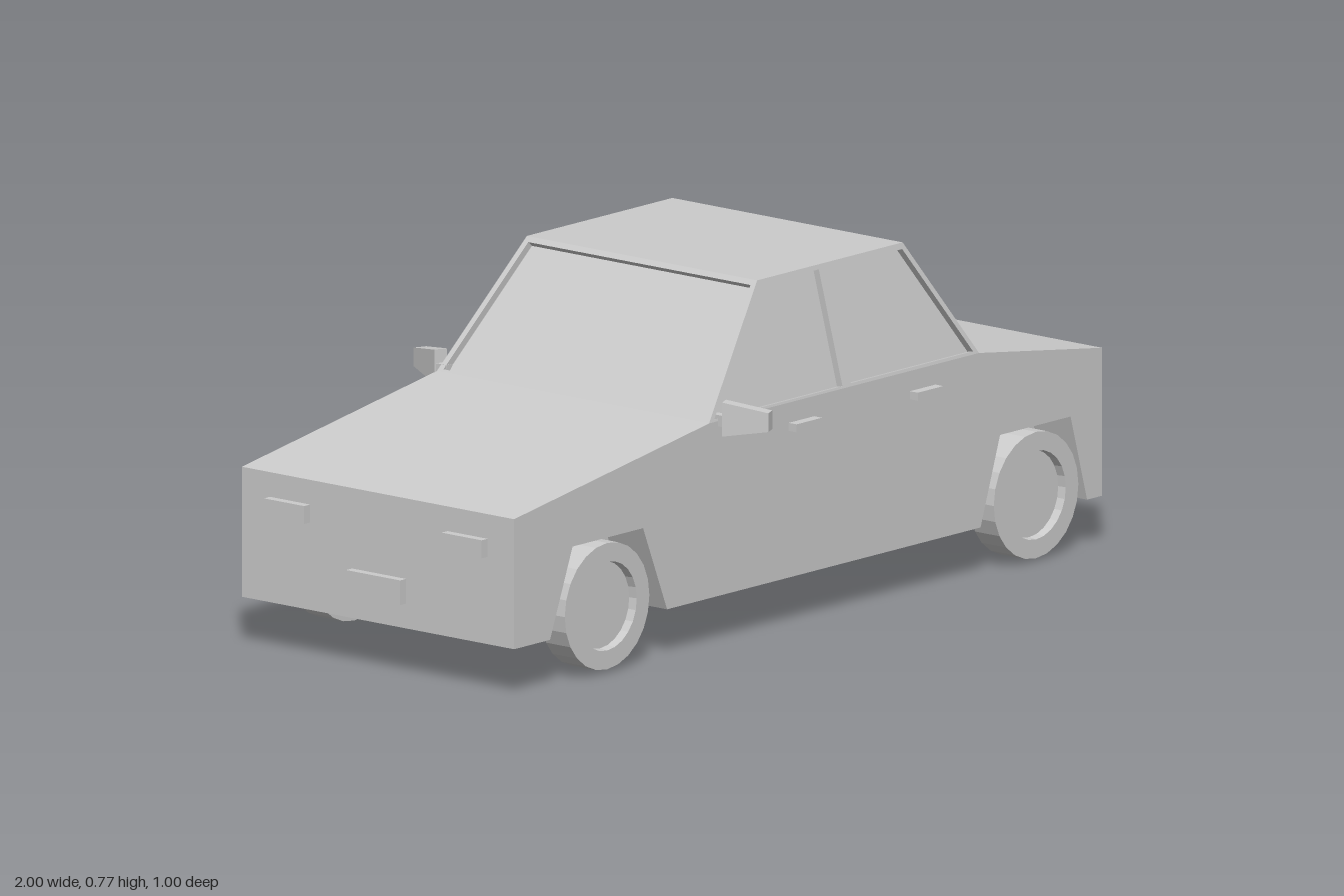
import * as THREE from 'three';

const material = new THREE.MeshStandardMaterial({ color: 0xcccccc, flatShading: true });
const V = (x, y, z) => new THREE.Vector3(x, y, z);

function add(parent, name, geometry, x = 0, y = 0, z = 0) {
  const mesh = new THREE.Mesh(geometry, material);
  mesh.name = name;
  mesh.position.set(x, y, z);
  parent.add(mesh);
  return mesh;
}

// Extrudes a side profile from z0 to z1
function slab(points, z0, z1) {
  const shape = new THREE.Shape(points.map(([x, y]) => new THREE.Vector2(x, y)));
  return new THREE.ExtrudeGeometry(shape, { depth: z1 - z0, bevelEnabled: false }).translate(0, 0, z0);
}

// Geometry from quads, each given counter-clockwise from outside
function fromQuads(quads) {
  const points = quads.flatMap(([a, b, c, d]) => [a, b, c, a, c, d]);
  const geometry = new THREE.BufferGeometry().setFromPoints(points);
  geometry.computeVertexNormals();
  return geometry;
}

// Window panel: a flat frame around a recessed pane; corners run BL, BR, TR, TL
function windowPanel(corners, margin = 0.014, depth = 0.016) {
  const [a, b, c, d] = corners;
  const normal = b.clone().sub(a).cross(d.clone().sub(a)).normalize();
  const at = (u, v) => a.clone().lerp(b, u).lerp(d.clone().lerp(c, u), v);
  const ub = margin / a.distanceTo(b), ut = margin / d.distanceTo(c), v = margin / a.distanceTo(d);
  const inner = [at(ub, v * 0.5), at(1 - ub, v * 0.5), at(1 - ut, 1 - v), at(ut, 1 - v)];
  const pane = inner.map((p) => p.clone().addScaledVector(normal, -depth));
  const quads = [pane];
  for (let i = 0; i < 4; i++) {
    const j = (i + 1) % 4;
    quads.push([corners[i], corners[j], inner[j], inner[i]]);
    quads.push([inner[i], inner[j], pane[j], pane[i]]);
  }
  return fromQuads(quads);
}

export function createModel() {
  const car = new THREE.Group();
  car.name = 'car';

  // Lower body: a full core with side slabs that carry the wheel arches
  const top = [[0.98, 0.11], [0.98, 0.44], [0.57, 0.5], [-0.33, 0.5], [-0.98, 0.4], [-0.98, 0.11]];
  const arches = [
    [-0.86, 0.11], [-0.785, 0.305], [-0.55, 0.305], [-0.47, 0.11],
    [0.575, 0.11], [0.64, 0.305], [0.875, 0.305], [0.93, 0.11],
  ];
  const body = new THREE.Group();
  body.name = 'body';
  car.add(body);
  add(body, 'bodyCore', slab(top, -0.275, 0.275));
  add(body, 'leftSide', slab([...top, ...arches], 0.275, 0.39));
  add(body, 'rightSide', slab([...top, ...arches], -0.39, -0.275));

  // Cabin: roof, windscreen, rear window and two windows on each side
  const cabin = new THREE.Group();
  cabin.name = 'cabin';
  car.add(cabin);
  const base = (x, s) => V(x, 0.5, 0.39 * s);
  const roof = (x, s) => V(x, 0.77, 0.33 * s);
  const [bf, bm, bb] = [-0.33, 0.13, 0.57];
  const [rf, rm, rb] = [-0.1, 0.117, 0.385];
  add(cabin, 'roof', fromQuads([[roof(rf, 1), roof(rb, 1), roof(rb, -1), roof(rf, -1)]]));
  add(cabin, 'windscreen', windowPanel([base(bf, -1), base(bf, 1), roof(rf, 1), roof(rf, -1)]));
  add(cabin, 'rearWindow', windowPanel([base(bb, 1), base(bb, -1), roof(rb, -1), roof(rb, 1)]));
  const sideWindows = [['front', bf, bm, rm, rf], ['rear', bm, bb, rb, rm]];
  for (const [name, b0, b1, t1, t0] of sideWindows) {
    add(cabin, name + 'LeftWindow', windowPanel([base(b0, 1), base(b1, 1), roof(t1, 1), roof(t0, 1)]));
    add(cabin, name + 'RightWindow', windowPanel([base(b1, -1), base(b0, -1), roof(t0, -1), roof(t1, -1)]));
  }

  // Wheels with a raised tyre ring around a sunken hub
  const wheelProfile = [[0, -0.035], [0.141, -0.035], [0.141, 0.035], [0.099, 0.035], [0.097, 0.015], [0, 0.015]]
    .map(([r, y]) => new THREE.Vector2(r, y));
  const wheelGeometry = new THREE.LatheGeometry(wheelProfile, 24).rotateX(Math.PI / 2);
  const wheels = [
    ['frontLeftWheel', -0.67, 0.152, 0.355], ['frontRightWheel', -0.67, 0.152, -0.37],
    ['rearLeftWheel', 0.76, 0.15, 0.355], ['rearRightWheel', 0.76, 0.144, -0.337],
  ];
  for (const [name, x, y, z] of wheels) {
    add(car, name, wheelGeometry, x, y, z).rotation.y = z < 0 ? Math.PI : 0;
  }

  // Door handles
  for (const [x, z] of [[-0.022, 0.395], [0.382, 0.395], [0.045, -0.39], [0.412, -0.39]]) {
    add(car, 'doorHandle', new THREE.BoxGeometry(0.085, 0.018, 0.035), x, 0.446, z);
  }

  // Lamps and number plates at both ends: name, x, y, z, height, width
  const fittings = [
    ['headlamp', -0.985, 0.325, 0.257, 0.04, 0.115], ['headlamp', -0.985, 0.325, -0.252, 0.04, 0.115],
    ['frontPlate', -0.985, 0.193, 0.003, 0.055, 0.155],
    ['tailLamp', 0.985, 0.381, 0.26, 0.046, 0.103], ['tailLamp', 0.985, 0.382, -0.226, 0.046, 0.103],
    ['rearPlate', 0.985, 0.264, 0.011, 0.057, 0.125],
  ];
  for (const [name, x, y, z, h, w] of fittings) {
    add(car, name, new THREE.BoxGeometry(0.03, h, w), x, y, z);
  }

  // Door mirrors: slabs tapering outwards and swept back, on short stubs
  for (const s of [1, -1]) {
    const mirror = new THREE.Group();
    mirror.name = s > 0 ? 'leftMirror' : 'rightMirror';
    const housing = new THREE.BoxGeometry(0.03, 0.076, 0.105);
    const p = housing.attributes.position;
    for (let i = 0; i < p.count; i++) {
      if (p.getZ(i) * s > 0) p.setY(i, p.getY(i) * 0.55);
    }
    add(mirror, 'mirrorHousing', housing).rotation.y = s * 0.42;
    add(mirror, 'mirrorStub', new THREE.BoxGeometry(0.02, 0.025, 0.04), -0.022, -0.005, -s * 0.055);
    mirror.position.set(s > 0 ? -0.268 : -0.287, 0.506, s * 0.446);
    car.add(mirror);
  }
  return car;
}
